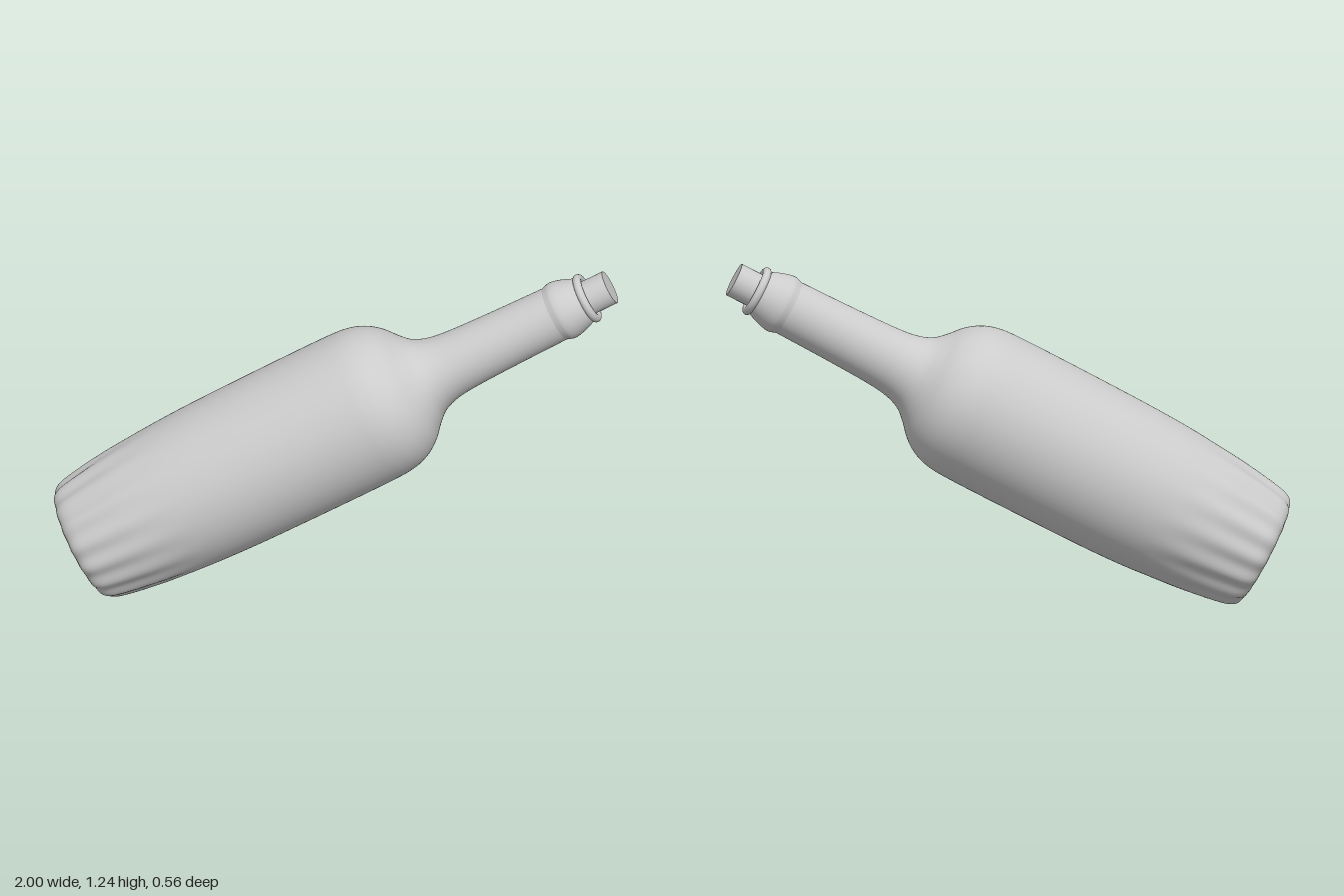
import * as THREE from 'three';
import { mergeVertices } from 'three/addons/utils/BufferGeometryUtils.js';

const material = new THREE.MeshStandardMaterial({ color: 0xcccccc });
const FLUTES = 16;

function addMesh(group, name, geometry, y = 0) {
  const mesh = new THREE.Mesh(geometry, material);
  mesh.name = name;
  mesh.position.y = y;
  group.add(mesh);
  return mesh;
}

const vectors = (points) => points.map(([r, y]) => new THREE.Vector2(r, y));

// Glass body: a smooth lathe whose lower part is pressed into shallow flutes
function glassGeometry() {
  const outline = new THREE.SplineCurve(vectors([
    [0.18, -0.72], [0.207, -0.71], [0.226, -0.682], [0.238, -0.63],
    [0.25, -0.55], [0.26, -0.46], [0.271, -0.3], [0.278, -0.12],
    [0.281, 0.15], [0.281, 0.4], [0.275, 0.49], [0.256, 0.55],
    [0.222, 0.6], [0.176, 0.643], [0.14, 0.685], [0.119, 0.745],
    [0.11, 0.83], [0.104, 1.0], [0.1, 1.195],
  ])).getPoints(110);
  const profile = [new THREE.Vector2(0, -0.72), ...outline];
  const geometry = new THREE.LatheGeometry(profile, 128);
  const p = geometry.attributes.position;
  for (let i = 0; i < p.count; i++) {
    const x = p.getX(i), y = p.getY(i), z = p.getZ(i);
    const fade = 1 - THREE.MathUtils.smoothstep(y, -0.68, -0.25);
    const press = 0.5 - 0.5 * Math.cos(FLUTES * Math.atan2(z, x));
    const scale = 1 - 0.045 * fade * press;
    p.setXYZ(i, x * scale, y, z * scale);
  }
  geometry.deleteAttribute('normal');
  geometry.deleteAttribute('uv');
  const merged = mergeVertices(geometry, 1e-5);
  merged.computeVertexNormals();
  return merged;
}

export function createModel() {
  const bottle = new THREE.Group();
  bottle.name = 'bottle';

  addMesh(bottle, 'glassBody', glassGeometry());

  // Collar below the mouth, closing inward onto the stopper
  const collar = new THREE.SplineCurve(vectors([
    [0.098, 1.185], [0.104, 1.203], [0.108, 1.218], [0.106, 1.24],
    [0.097, 1.272], [0.086, 1.3], [0.076, 1.318],
  ])).getPoints(30);
  collar.push(...vectors([[0.066, 1.318], [0.064, 1.27]]));
  addMesh(bottle, 'collar', new THREE.LatheGeometry(collar, 64));

  // Rounded ring at the mouth
  const ring = new THREE.TorusGeometry(0.078, 0.015, 16, 64).rotateX(Math.PI / 2);
  addMesh(bottle, 'mouthRing', ring, 1.32);

  // Stopper
  addMesh(bottle, 'cork', new THREE.CylinderGeometry(0.062, 0.062, 0.212, 32), 1.306);

  // Lean the bottle on its base edge, neck towards +x
  bottle.rotation.z = -THREE.MathUtils.degToRad(62);
  bottle.position.set(-0.279, 0.524, 0);

  const model = new THREE.Group();
  model.name = 'leaningBottle';
  model.add(bottle);
  return model;
}
